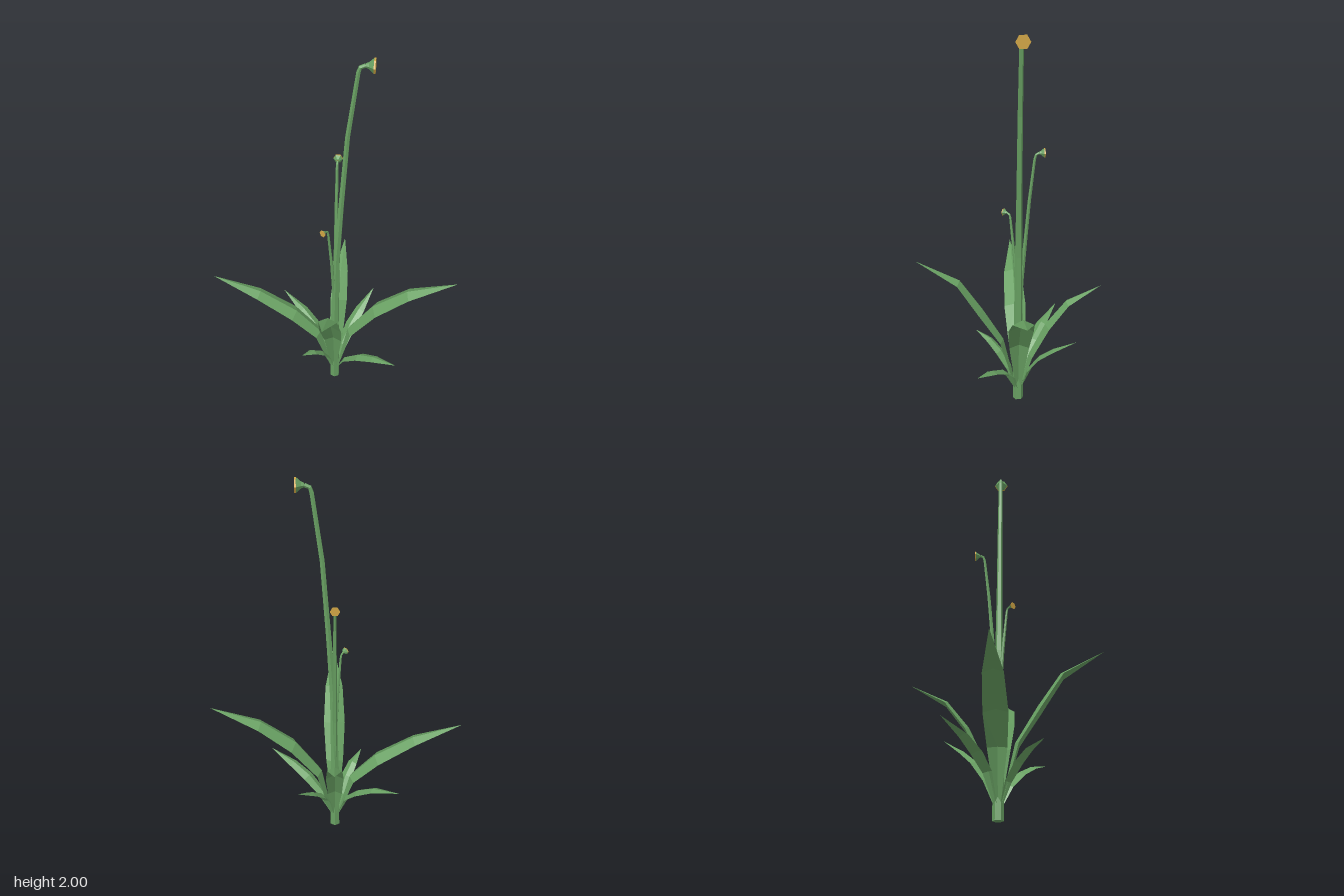
import * as THREE from 'three';

const CX = 0.007, CZ = -0.05; // stem axis

// Facet-shaded grid surface from rows of points
function gridGeometry(rows, closed) {
  const n = rows[0].length, index = [], pos = [];
  rows.forEach(r => r.forEach(p => pos.push(p.x, p.y, p.z)));
  for (let i = 0; i < rows.length - 1; i++) {
    for (let j = 0; j < (closed ? n : n - 1); j++) {
      const k = (j + 1) % n;
      const a = i * n + j, b = i * n + k, c = (i + 1) * n + k, d = (i + 1) * n + j;
      index.push(a, b, c, a, c, d);
    }
  }
  const g = new THREE.BufferGeometry();
  g.setAttribute('position', new THREE.Float32BufferAttribute(pos, 3));
  g.setIndex(index);
  const flat = g.toNonIndexed();
  flat.computeVertexNormals();
  return flat;
}

function tangentAt(pts, i) {
  const a = pts[Math.max(i - 1, 0)], b = pts[Math.min(i + 1, pts.length - 1)];
  return b.clone().sub(a).normalize();
}

// Six-sided tapering tube; side is the horizontal axis across its plane
function loft(pts, radii, side) {
  const rows = pts.map((p, i) => {
    const u = tangentAt(pts, i).cross(side).normalize();
    return Array.from({ length: 6 }, (_, j) => {
      const a = j * Math.PI / 3;
      return p.clone()
        .addScaledVector(side, radii[i] * Math.cos(a))
        .addScaledVector(u, radii[i] * Math.sin(a));
    });
  });
  return gridGeometry(rows, true);
}

// Leaf folded along a raised midrib; profile holds [distance, height] pairs
function leafGeometry(tipX, tipZ, width, profile) {
  const dir = new THREE.Vector3(tipX - CX, 0, tipZ - CZ);
  const reach = dir.length();
  dir.normalize();
  const side = new THREE.Vector3(-dir.z, 0, dir.x);
  const pts = profile.map(([f, y]) =>
    new THREE.Vector3(CX, y, CZ).addScaledVector(dir, f * reach));
  const widths = [0.2, 0.8, 1, 0.82, 0.01];
  const rows = pts.map((p, i) => {
    const w = width * widths[i];
    const up = side.clone().cross(tangentAt(pts, i)).normalize();
    if (up.y < 0) up.negate();
    const low = p.clone().addScaledVector(up, -0.45 * w);
    return [
      low.clone().addScaledVector(side, -w), p, low.clone().addScaledVector(side, w),
    ];
  });
  return gridGeometry(rows, false);
}

export function createModel() {
  const model = new THREE.Group();
  model.name = 'floweringPlant';

  const green = new THREE.MeshStandardMaterial({ color: 0x68a062, side: THREE.DoubleSide });
  green.name = 'leafGreen';
  const yellow = new THREE.MeshStandardMaterial({ color: 0xd0a544, side: THREE.DoubleSide });
  yellow.name = 'petalYellow';

  const add = (parent, name, geometry, material) => {
    const mesh = new THREE.Mesh(geometry, material);
    mesh.name = name;
    parent.add(mesh);
  };

  // Leaves: name, tip x, tip z, half width, [fraction of reach, height]
  const leaves = [
    ['leftLeaf', 0.655, -0.03, 0.065, [[0.02, 0.07], [0.11, 0.37], [0.32, 0.555], [0.6, 0.685], [1, 0.77]]],
    ['rightLeaf', -0.66, -0.06, 0.06, [[0.02, 0.07], [0.12, 0.33], [0.32, 0.47], [0.62, 0.59], [1, 0.67]]],
    ['frontLeaf', 0.007, 0.48, 0.058, [[0.02, 0.07], [0.15, 0.37], [0.36, 0.555], [0.58, 0.725], [1, 0.84]]],
    ['backLeaf', 0.015, -0.485, 0.047, [[0.03, 0.07], [0.13, 0.27], [0.33, 0.45], [0.58, 0.585], [1, 0.67]]],
    ['frontLeftLeaf', 0.36, 0.185, 0.036, [[0.03, 0.06], [0.17, 0.18], [0.4, 0.265], [0.65, 0.315], [1, 0.35]]],
    ['frontRightLeaf', -0.145, 0.17, 0.032, [[0.04, 0.06], [0.18, 0.18], [0.4, 0.265], [0.65, 0.32], [1, 0.35]]],
    ['backRightLeaf', -0.32, -0.295, 0.036, [[0.03, 0.06], [0.17, 0.22], [0.36, 0.3], [0.6, 0.36], [1, 0.405]]],
    ['backLeftLeaf', 0.2, -0.335, 0.036, [[0.03, 0.06], [0.17, 0.2], [0.38, 0.3], [0.62, 0.365], [1, 0.44]]],
  ];
  for (const [name, x, z, w, profile] of leaves) {
    add(model, name, leafGeometry(x, z, w, profile), green);
  }

  // Stems: heading in degrees from +x towards +z, then [distance, height, radius]
  const stems = [
    ['tall', 0, 1, [[0, 0, 0], [0, 0.001, 0.028], [0, 0.4, 0.024], [0.008, 0.85, 0.019],
      [0.03, 1.2, 0.015], [0.058, 1.6, 0.013], [0.102, 1.93, 0.011], [0.11, 1.955, 0.01], [0.135, 1.966, 0.01]]],
    ['middle', -90, 0.68, [[0, 0.2, 0.014], [0.015, 0.7, 0.012], [0.036, 0.95, 0.01],
      [0.053, 1.15, 0.009], [0.078, 1.37, 0.007], [0.085, 1.392, 0.006], [0.1, 1.4, 0.006]]],
    ['short', 127, 0.52, [[0, 0.2, 0.012], [0.008, 0.65, 0.01], [0.026, 0.85, 0.008],
      [0.05, 1.05, 0.006], [0.055, 1.068, 0.005], [0.07, 1.076, 0.005]]],
  ];
  for (const [name, degrees, size, path] of stems) {
    const a = degrees * Math.PI / 180;
    const dir = new THREE.Vector3(Math.cos(a), 0, Math.sin(a));
    const side = new THREE.Vector3(-dir.z, 0, dir.x);
    const at = ([d, y]) => new THREE.Vector3(CX, y, CZ).addScaledVector(dir, d);
    add(model, name + 'Stem', loft(path.map(at), path.map(p => p[2]), side), green);

    // Trumpet flower: green outside, yellow funnel inside
    const flower = new THREE.Group();
    flower.name = name + 'Flower';
    const [d0, y0] = path[path.length - 1];
    const trumpet = rings => loft(
      rings.map(([d]) => at([d0 + d * size, y0])), rings.map(r => r[1] * size), side);
    add(flower, name + 'Calyx', trumpet([[0, 0.01], [0.014, 0.016], [0.036, 0.035]]), green);
    add(flower, name + 'Petals', trumpet([[0.02, 0], [0.044, 0.03], [0.044, 0.036], [0.036, 0.035]]), yellow);
    model.add(flower);
  }

  return model;
}
